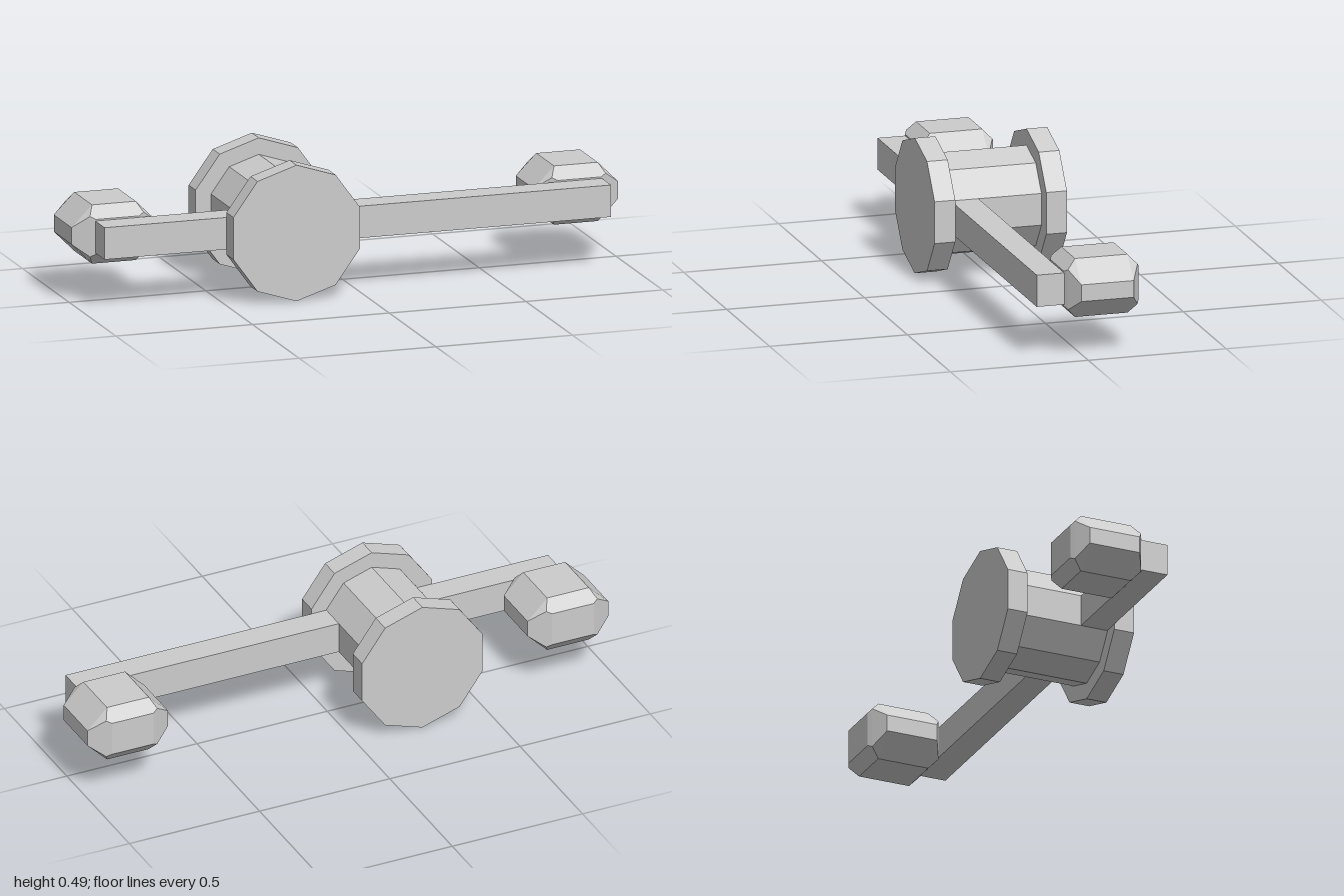
import * as THREE from 'three';
import { ConvexGeometry } from 'three/addons/geometries/ConvexGeometry.js';

const HUB_X = -0.25;
const MID_Y = 0.245;

export function createModel() {
  const model = new THREE.Group();
  model.name = 'crankAssembly';
  const grey = new THREE.MeshStandardMaterial({ color: 0xcccccc });
  grey.name = 'light grey';
  grey.flatShading = true;

  const add = (name, geometry, x, y, z) => {
    const mesh = new THREE.Mesh(geometry, grey);
    mesh.name = name;
    mesh.position.set(x, y, z);
    model.add(mesh);
  };

  // Ten-sided drum lying along z, with a corner pointing up
  const drum = (radius, depth) =>
    new THREE.CylinderGeometry(radius, radius, depth, 10).rotateX(Math.PI / 2);

  add('hubBarrel', drum(0.184, 0.34), HUB_X, MID_Y, 0);
  add('frontFlange', drum(0.243, 0.075), HUB_X, MID_Y, 0.2025);
  add('backFlange', drum(0.243, 0.075), HUB_X, MID_Y, -0.2025);

  // Long bar passing through the hub
  add('crossBar', new THREE.BoxGeometry(1.853, 0.114, 0.1), 0, MID_Y, 0.114);

  // Bevelled grip: one corner mirrored into all eight octants
  const corner = [
    [0.155, 0.03, 0.095],   // side face
    [0.08, 0.105, 0.095],   // top face
    [0.08, 0.0625, 0.135],  // end face
    [0.098, 0.072, 0.126],  // where the bevels meet
  ];
  const points = [];
  for (const sx of [-1, 1])
    for (const sy of [-1, 1])
      for (const sz of [-1, 1])
        for (const [x, y, z] of corner) points.push(new THREE.Vector3(sx * x, sy * y, sz * z));
  const grip = new ConvexGeometry(points);

  add('leftGrip', grip, 0.845, MID_Y, -0.07);
  add('rightGrip', grip, -0.845, MID_Y, -0.07);

  return model;
}
